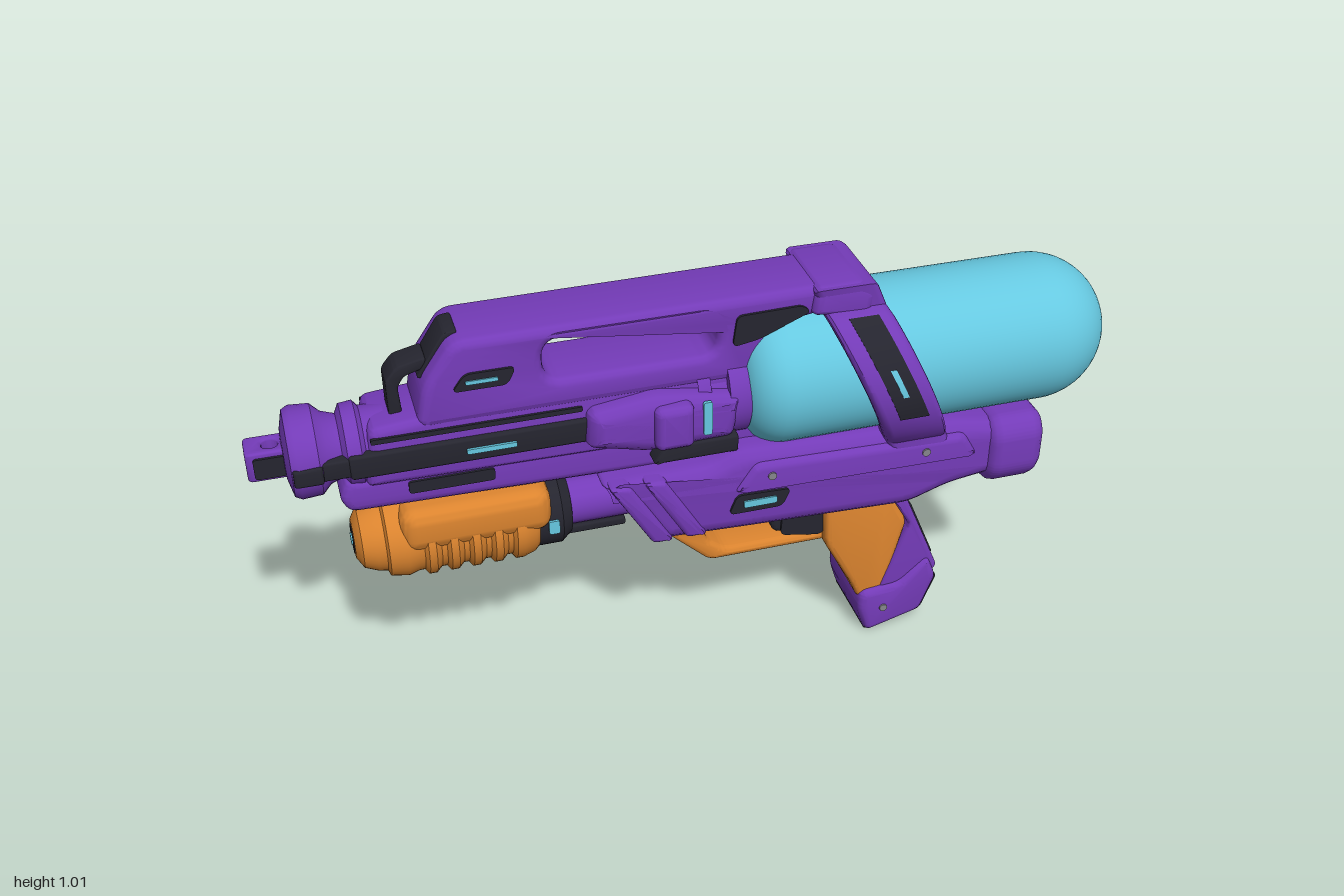
import * as THREE from 'three';
import { toCreasedNormals } from 'three/addons/utils/BufferGeometryUtils.js';
import { RoundedBoxGeometry } from 'three/addons/geometries/RoundedBoxGeometry.js';

const paint = (name, color) => Object.assign(new THREE.MeshStandardMaterial({ color }), { name });

export function createModel() {
  const purple = paint('purple plastic', 0x743bb8);
  const black = paint('black rubber', 0x25252f);
  const orange = paint('orange plastic', 0xdb842f);
  const blue = paint('blue tank plastic', 0x66c8e0);
  const grey = paint('grey metal', 0x85858c);
  const model = new THREE.Group();

  const add = (name, geo, mat) => {
    const mesh = new THREE.Mesh(toCreasedNormals(geo, 0.6), mat);
    mesh.name = name;
    model.add(mesh);
    return mesh;
  };

  // Polygon with rounded corners
  const trace = (path, pts, r) => {
    const v = pts.map(p => new THREE.Vector2(...p));
    v.forEach((p, i) => {
      const a = v[(i + v.length - 1) % v.length], b = v[(i + 1) % v.length];
      const toward = q => p.clone().lerp(q, Math.min(0.45, r / p.distanceTo(q)));
      const s = toward(a), e = toward(b);
      if (i) path.lineTo(s.x, s.y); else path.moveTo(s.x, s.y);
      path.quadraticCurveTo(p.x, p.y, e.x, e.y);
    });
    path.closePath();
    return path;
  };

  const extrude = (shape, depth, bevel) => new THREE.ExtrudeGeometry(shape, {
    depth: depth - 2 * bevel, bevelEnabled: bevel > 0, bevelThickness: bevel, bevelSize: bevel,
    bevelOffset: -bevel, bevelSegments: 3, curveSegments: 10,
  }).translate(0, 0, bevel - depth / 2);

  // Side-view outline, extruded across z to the given half width
  const slab = (name, pts, half, mat, { r = 0.02, bevel = 0.02, hole, holeR = 0.04 } = {}) => {
    const shape = trace(new THREE.Shape(), pts, r);
    if (hole) shape.holes.push(trace(new THREE.Path(), hole, holeR));
    return add(name, extrude(shape, half * 2, bevel), mat);
  };
  const rect = (x0, x1, y0, y1) => [[x0, y0], [x1, y0], [x1, y1], [x0, y1]];

  // Thin plate on the flanks at distance z
  const plates = (name, pts, z, mat, r = 0.015, sides = [1, -1]) => {
    for (const s of sides) {
      slab(name, pts, 0.004, mat, { r, bevel: 0 }).position.z = s * (z + 0.002);
    }
  };

  // Turned part along x from [x, radius] points
  const turned = (name, pts, y, mat, seg = 40) => add(name, new THREE.LatheGeometry(
    pts.map(([x, r]) => new THREE.Vector2(r, x)), seg).rotateZ(-Math.PI / 2).translate(0, y, 0), mat);

  // Outline in (z, y) extruded along x and leaned back with height
  const lean = (name, shape, depth, bevel, mat, x, slope = 0, y0 = 0.76) => {
    const geo = extrude(shape, depth, bevel).rotateY(Math.PI / 2);
    const p = geo.attributes.position;
    for (let i = 0; i < p.count; i++) p.setX(i, p.getX(i) + x - slope * (p.getY(i) - y0));
    return add(name, geo, mat);
  };

  // Water tank: soft front shoulder, domed rear
  const tank = [[0.09, 0], [0.09, 0.08]];
  for (let i = 1; i <= 8; i++) {
    const a = i * Math.PI / 16;
    tank.push([0.09 + 0.095 * (1 - Math.cos(a)), 0.08 + 0.095 * Math.sin(a)]);
  }
  for (let i = 0; i <= 14; i++) {
    const a = i * Math.PI / 28;
    tank.push([0.825 + 0.175 * Math.sin(a), Math.max(0, 0.175 * Math.cos(a))]);
  }
  turned('water tank', tank, 0.765, blue, 56);

  // Leaning collar around the tank
  const collar = new THREE.Shape();
  collar.moveTo(-0.15, 0.55).lineTo(0.15, 0.55).lineTo(0.15, 0.6);
  collar.absarc(0, 0.76, 0.22, -0.82, 0.95, false);
  collar.lineTo(0.1, 0.945).lineTo(0.108, 1.005).lineTo(-0.108, 1.005).lineTo(-0.1, 0.945);
  collar.absarc(0, 0.76, 0.22, Math.PI - 0.95, Math.PI + 0.82, false);
  collar.lineTo(-0.15, 0.55);
  const bore = new THREE.Path();
  bore.absarc(0, 0.765, 0.17, 0, Math.PI * 2, true);
  collar.holes.push(bore);
  lean('tank collar', collar, 0.15, 0.018, purple, 0.425, 0.45);
  const arcBand = (r, a0, a1, flip) => {
    const s = new THREE.Shape();
    s.absarc(0, 0.76, r, flip ? Math.PI - a1 : a0, flip ? Math.PI - a0 : a1, false);
    s.absarc(0, 0.76, 0.205, flip ? Math.PI - a0 : a1, flip ? Math.PI - a1 : a0, true);
    return s;
  };
  for (const flip of [false, true]) {
    lean('collar inset', arcBand(0.222, -0.24, 0.94, flip), 0.07, 0, black, 0.43, 0.45);
    lean('collar slit', arcBand(0.224, 0.05, 0.36, flip), 0.014, 0, blue, 0.43, 0.45);
  }

  // Carry handle with finger opening
  slab('carry handle', [[-0.64, 0.8], [-0.62, 0.9], [-0.55, 1.0], [0.36, 1.005], [0.36, 0.95], [0.16, 0.92], [0.1, 0.8]],
    0.088, purple, { r: 0.03, hole: rect(-0.36, 0.03, 0.87, 0.97), holeR: 0.045 });
  slab('handle rear block', [[0.24, 0.94], [0.38, 0.92], [0.39, 0.98], [0.36, 1.008], [0.25, 1.008]], 0.106, purple, { r: 0.015 });
  plates('handle front patch', [[-0.56, 0.885], [-0.44, 0.885], [-0.42, 0.925], [-0.53, 0.925]], 0.088, black);
  plates('handle front slit', rect(-0.53, -0.46, 0.9, 0.909), 0.091, blue, 0.004);
  plates('handle rear patch', [[0.06, 0.89], [0.12, 0.9], [0.24, 0.95], [0.22, 0.968], [0.07, 0.965]], 0.088, black);
  slab('handle nose pad', [[-0.626, 0.9], [-0.56, 1.0], [-0.53, 1.004], [-0.53, 0.98], [-0.6, 0.9]], 0.042, black, { r: 0.01, bevel: 0.004 });

  // Front sight bracket
  slab('front sight', [[-0.69, 0.8], [-0.69, 0.9], [-0.665, 0.93], [-0.6, 0.945], [-0.6, 0.92], [-0.65, 0.905], [-0.665, 0.88], [-0.66, 0.8]],
    0.035, black, { r: 0.01, bevel: 0.006 });

  // Muzzle rings, barrel and nozzle with a cross hole
  turned('muzzle rings', [[-0.924, 0], [-0.92, 0.055], [-0.91, 0.095], [-0.895, 0.103], [-0.85, 0.1],
    [-0.83, 0.08], [-0.8, 0.07], [-0.79, 0.09], [-0.76, 0.093], [-0.75, 0.08], [-0.7, 0.08], [-0.7, 0]], 0.74, purple);
  const nozzle = trace(new THREE.Shape(), rect(-1, -0.91, -0.036, 0.036), 0.012);
  const cross = new THREE.Path();
  cross.absarc(-0.945, 0, 0.018, 0, Math.PI * 2, true);
  nozzle.holes.push(cross);
  add('nozzle', extrude(nozzle, 0.072, 0.006).rotateX(-Math.PI / 2).translate(0, 0.738, 0), purple);
  plates('nozzle side patch', rect(-0.985, -0.912, 0.712, 0.762), 0.036, black, 0.008);
  slab('muzzle side strip', rect(-0.908, -0.845, 0.714, 0.758), 0.105, black, { r: 0.008, bevel: 0.006 });
  slab('muzzle neck strip', rect(-0.85, -0.77, 0.714, 0.758), 0.094, black, { r: 0.008, bevel: 0.004 });

  slab('barrel housing', [[-0.76, 0.67], [0.1, 0.66], [0.1, 0.82], [-0.58, 0.83], [-0.74, 0.815]], 0.085, purple);
  slab('lower barrel rail', [[-0.82, 0.64], [-0.8, 0.605], [0.2, 0.585], [0.2, 0.68], [-0.8, 0.69]], 0.075, purple);
  plates('lower rail patch', rect(-0.67, -0.48, 0.638, 0.668), 0.075, black, 0.008);
  slab('side rail', rect(-0.79, -0.25, 0.707, 0.765), 0.097, black, { r: 0.01, bevel: 0.006 });
  plates('rail slit', rect(-0.54, -0.43, 0.73, 0.742), 0.097, blue, 0.004);
  plates('upper rail trim', rect(-0.74, -0.28, 0.785, 0.797), 0.085, black, 0.005);

  // Wide breech with connecting rings to the tank
  slab('breech housing', [[-0.28, 0.7], [-0.14, 0.665], [0.06, 0.67], [0.08, 0.78], [-0.12, 0.81], [-0.27, 0.79]], 0.13, purple, { bevel: 0.035 });
  slab('breech block', [[-0.13, 0.68], [-0.04, 0.68], [-0.04, 0.79], [-0.13, 0.79]], 0.152, purple);
  turned('tank neck', [[-0.02, 0.11], [0.01, 0.11], [0.01, 0.098], [0.05, 0.098], [0.05, 0.12], [0.1, 0.12], [0.1, 0]], 0.75, purple);
  plates('neck window', rect(-0.018, 0.002, 0.7, 0.785), 0.13, blue, 0.006);
  slab('breech vent', [[-0.13, 0.63], [0.07, 0.63], [0.07, 0.675], [-0.1, 0.675]], 0.12, black, { bevel: 0.008, r: 0.008 });

  // Receiver body
  slab('receiver', [[-0.26, 0.6], [-0.18, 0.52], [-0.12, 0.42], [0.1, 0.41], [0.5, 0.395], [0.6, 0.43], [0.75, 0.45],
    [0.75, 0.585], [0.6, 0.615], [0.07, 0.635], [0.0, 0.605]], 0.14, purple, { bevel: 0.04, r: 0.03 });
  slab('receiver shoulder', [[0.05, 0.53], [0.66, 0.52], [0.62, 0.59], [0.1, 0.605]], 0.152, purple);
  for (const x of [-0.24, -0.16]) {
    slab('diagonal rib', [[x, 0.6], [x + 0.05, 0.6], [x + 0.15, 0.43], [x + 0.1, 0.43]], 0.148, purple, { r: 0.012, bevel: 0.012 });
  }
  plates('receiver patch', [[0.04, 0.475], [0.17, 0.475], [0.19, 0.52], [0.06, 0.525]], 0.14, black);
  plates('receiver slit', rect(0.075, 0.155, 0.49, 0.508), 0.144, blue, 0.005);
  plates('metal latch', rect(-0.15, -0.06, 0.55, 0.595), 0.148, grey, 0.012, [-1]);

  // Flared rear cap with black end plate
  const cap = (z, y0, y1) => trace(new THREE.Shape(), [[-z, y0 + 0.05], [-z + 0.04, y0], [z - 0.04, y0], [z, y0 + 0.05],
    [z, y1 - 0.04], [z - 0.03, y1], [-z + 0.03, y1], [-z, y1 - 0.04]], 0.025);
  lean('rear cap', cap(0.16, 0.415, 0.605), 0.14, 0.03, purple, 0.757);
  lean('rear cap plate', cap(0.122, 0.44, 0.58), 0.009, 0, black, 0.826);

  // Pump grip: ridged below, smooth on top
  const pump = [[-0.8, 0], [-0.8, 0.045], [-0.785, 0.07], [-0.755, 0.082], [-0.735, 0.085], [-0.73, 0.098], [-0.69, 0.104]];
  for (let i = 0; i < 5; i++) {
    const x = -0.665 + i * 0.05;
    pump.push([x, 0.097], [x + 0.012, 0.097], [x + 0.02, 0.109], [x + 0.037, 0.109]);
  }
  pump.push([-0.4, 0.1], [-0.385, 0.085], [-0.385, 0]);
  turned('pump grip', pump, 0.487, orange);
  add('pump top', new RoundedBoxGeometry(0.34, 0.11, 0.212, 3, 0.035).translate(-0.53, 0.54, 0), orange);
  turned('pump tip cap', [[-0.802, 0], [-0.802, 0.035], [-0.798, 0.035]], 0.487, black, 24);
  turned('pump tip dot', [[-0.805, 0], [-0.805, 0.014], [-0.8, 0.014]], 0.487, blue, 16);
  turned('pump collar', [[-0.4, 0.09], [-0.335, 0.09], [-0.31, 0.07], [-0.31, 0]], 0.487, black);
  plates('pump collar slit', rect(-0.37, -0.345, 0.47, 0.505), 0.088, blue, 0.006);
  turned('pump rod', [[-0.36, 0.06], [-0.05, 0.06]], 0.495, purple);
  slab('rod underside', rect(-0.32, -0.18, 0.425, 0.445), 0.045, black, { r: 0.006, bevel: 0.004 });

  // Trigger guard and trigger
  slab('trigger guard', [[-0.13, 0.43], [-0.08, 0.38], [0.02, 0.285], [0.35, 0.285], [0.38, 0.43]], 0.065, orange,
    { bevel: 0.012, hole: [[0.01, 0.395], [0.3, 0.395], [0.3, 0.312], [0.06, 0.312], [0.01, 0.35]], holeR: 0.02 });
  slab('trigger', [[0.2, 0.42], [0.18, 0.33], [0.2, 0.315], [0.27, 0.32], [0.34, 0.31], [0.34, 0.42]], 0.045, black, { bevel: 0.01 });
  plates('trigger side plate', [[0.2, 0.405], [0.195, 0.33], [0.3, 0.31], [0.33, 0.37], [0.31, 0.405]], 0.066, black);

  // Pistol grip: orange front, purple back strap and base, black pads
  slab('grip front', [[0.3, 0.42], [0.46, 0.42], [0.515, 0.32], [0.46, 0.1], [0.4, 0.1], [0.38, 0.15], [0.305, 0.29]], 0.097, orange, { bevel: 0.014 });
  slab('grip back strap', [[0.45, 0.43], [0.5, 0.41], [0.605, 0.165], [0.57, 0.13], [0.45, 0.13], [0.52, 0.31]], 0.1, purple, { r: 0.012, bevel: 0.008 });
  slab('back strap pad', [[0.522, 0.37], [0.592, 0.205], [0.57, 0.2], [0.505, 0.36]], 0.092, black, { r: 0.008, bevel: 0.005 });
  slab('grip base', [[0.4, 0.13], [0.5, 0.14], [0.575, 0.205], [0.602, 0.14], [0.565, 0.04], [0.42, 0.0], [0.395, 0.08]], 0.113, purple, { bevel: 0.018 });
  slab('base pad', [[0.415, 0.0], [0.568, 0.035], [0.608, 0.138], [0.58, 0.15], [0.54, 0.07], [0.42, 0.035]], 0.1, black, { r: 0.015, bevel: 0.005 });

  // Screw heads
  for (const [x, y, z] of [[0.46, 0.075, 0.113], [0.14, 0.57, 0.152], [0.52, 0.56, 0.152]]) {
    for (const s of [1, -1]) {
      add('screw', new THREE.CylinderGeometry(0.01, 0.01, 0.008, 16).rotateX(Math.PI / 2).translate(x, y, s * z), grey);
    }
  }
  return model;
}
